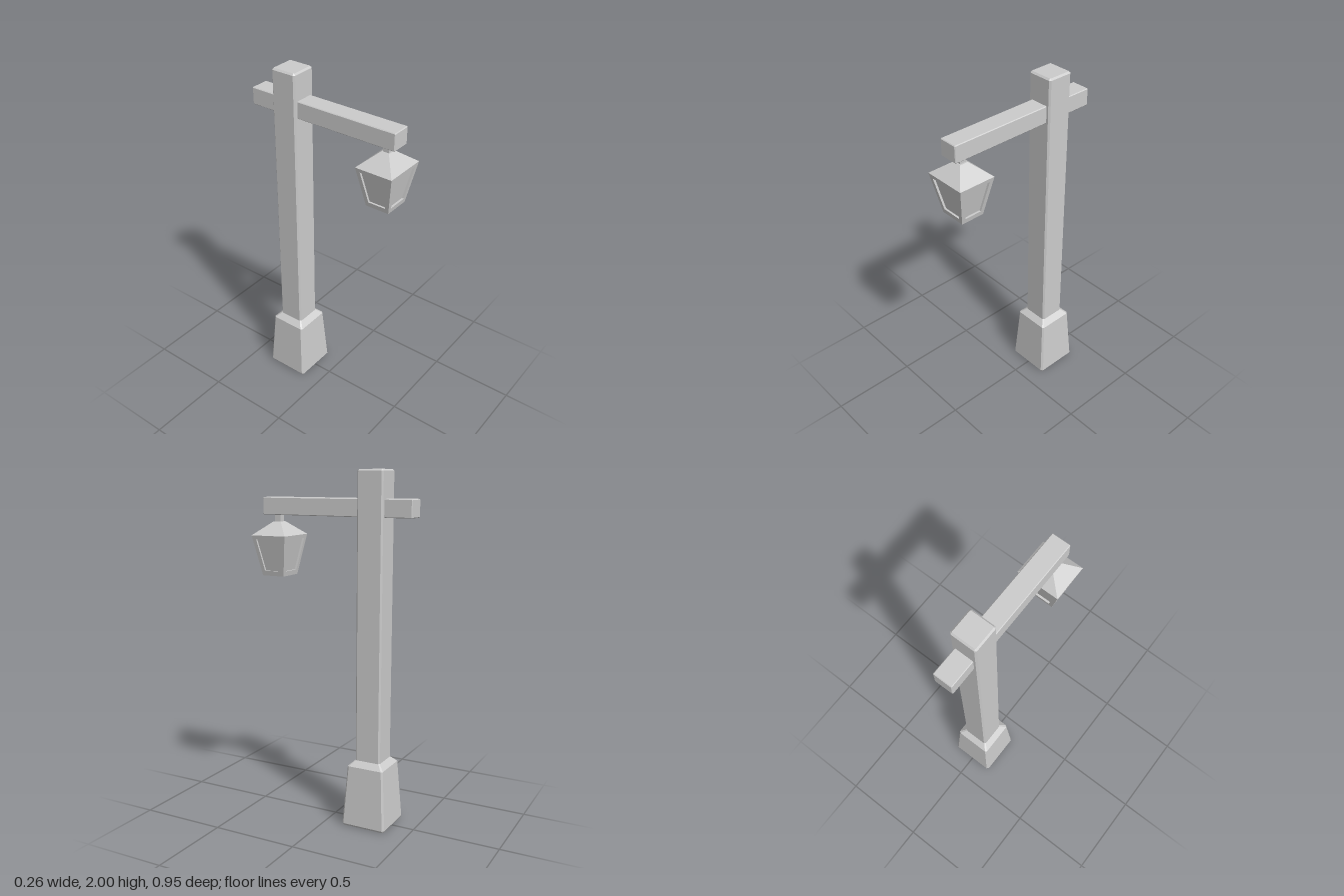
import * as THREE from 'three';

const material = new THREE.MeshStandardMaterial({ color: 0xcccccc, flatShading: true });

// Flat-shaded mesh from polygons (arrays of [x, y, z], counter-clockwise from outside)
function polyMesh(name, polygons) {
  const pos = [];
  for (const p of polygons)
    for (let i = 1; i < p.length - 1; i++) pos.push(...p[0], ...p[i], ...p[i + 1]);
  const geo = new THREE.BufferGeometry();
  geo.setAttribute('position', new THREE.Float32BufferAttribute(pos, 3));
  geo.computeVertexNormals();
  const mesh = new THREE.Mesh(geo, material);
  mesh.name = name;
  return mesh;
}

// Rectangle with chamfered corners at height y
function ring([y, hx, hz, c]) {
  return [
    [hx, y, -hz + c], [hx, y, hz - c], [hx - c, y, hz], [-hx + c, y, hz],
    [-hx, y, hz - c], [-hx, y, -hz + c], [-hx + c, y, -hz], [hx - c, y, -hz],
  ];
}

// Closed solid through levels of [y, halfX, halfZ, chamfer]
function loft(name, levels) {
  const rings = levels.map(ring);
  const polys = [rings[0], [...rings[rings.length - 1]].reverse()];
  for (let i = 0; i < rings.length - 1; i++)
    for (let k = 0; k < 8; k++) {
      const n = (k + 1) % 8;
      polys.push([rings[i][k], rings[i + 1][k], rings[i + 1][n], rings[i][n]]);
    }
  return polyMesh(name, polys);
}

// Beam with every edge chamfered
function beam(name, y0, y1, hx, hz, c) {
  return loft(name, [
    [y0, hx - c, hz - c, c * 0.3], [y0 + c, hx, hz, c],
    [y1 - c, hx, hz, c], [y1, hx - c, hz - c, c * 0.3],
  ]);
}

// Tapered lantern body with a framed, recessed pane on each side
function lanternBody() {
  const yBottom = 1.405, yTop = 1.635, paneBottom = 1.433, paneTop = 1.613;
  const border = 0.023, recess = 0.012;
  const half = (y, bottom, top) => bottom + (top - bottom) * (y - yBottom) / (yTop - yBottom);
  const hx = y => half(y, 0.076, 0.125);
  const hz = y => half(y, 0.069, 0.109);
  const polys = [];
  for (let s = 0; s < 4; s++) {
    const c = [1, 0, -1, 0][s], n = [0, 1, 0, -1][s];
    const depth = s % 2 ? hz : hx, width = s % 2 ? hx : hz;
    const loop = (y0, y1, edge, inset) =>
      [[-1, y0], [-1, y1], [1, y1], [1, y0]].map(([side, y]) => {
        const u = side * (width(y) - edge), d = depth(y) - inset;
        return [c * d - n * u, y, n * d + c * u];
      });
    const outer = loop(yBottom, yTop, 0, 0);
    const inner = loop(paneBottom, paneTop, border, 0);
    const pane = loop(paneBottom, paneTop, border, recess);
    for (let i = 0; i < 4; i++) {
      const j = (i + 1) % 4;
      polys.push([outer[i], outer[j], inner[j], inner[i]]);
      polys.push([inner[i], inner[j], pane[j], pane[i]]);
    }
    polys.push(pane);
  }
  // Floor
  const x = hx(yBottom), z = hz(yBottom);
  polys.push([[x, yBottom, -z], [x, yBottom, z], [-x, yBottom, z], [-x, yBottom, -z]]);
  return polyMesh('lanternBody', polys);
}

export function createModel() {
  const model = new THREE.Group();
  model.name = 'lampPost';

  // Post and flared footing
  const upright = new THREE.Group();
  upright.name = 'upright';
  upright.position.z = -0.241;
  upright.add(
    beam('post', 0.2, 2, 0.076, 0.076, 0.009),
    loft('base', [
      [0, 0.124, 0.124, 0.004], [0.012, 0.132, 0.132, 0.011],
      [0.355, 0.109, 0.109, 0.009], [0.388, 0.074, 0.074, 0.006],
    ]),
  );

  // Cross arm running through the post, front to back
  const arm = beam('arm', -0.475, 0.438, 0.055, 0.049, 0.004);
  arm.rotation.x = Math.PI / 2;
  arm.position.y = 1.798;

  // Hanging lantern
  const lantern = new THREE.Group();
  lantern.name = 'lantern';
  lantern.position.z = 0.364;
  const roof = loft('lanternRoof', [[1.635, 0.125, 0.109, 0], [1.71, 0.026, 0.024, 0]]);
  const hanger = new THREE.Mesh(new THREE.BoxGeometry(0.036, 0.06, 0.036), material);
  hanger.name = 'hanger';
  hanger.position.y = 1.735;
  lantern.add(lanternBody(), roof, hanger);

  model.add(upright, arm, lantern);
  return model;
}
